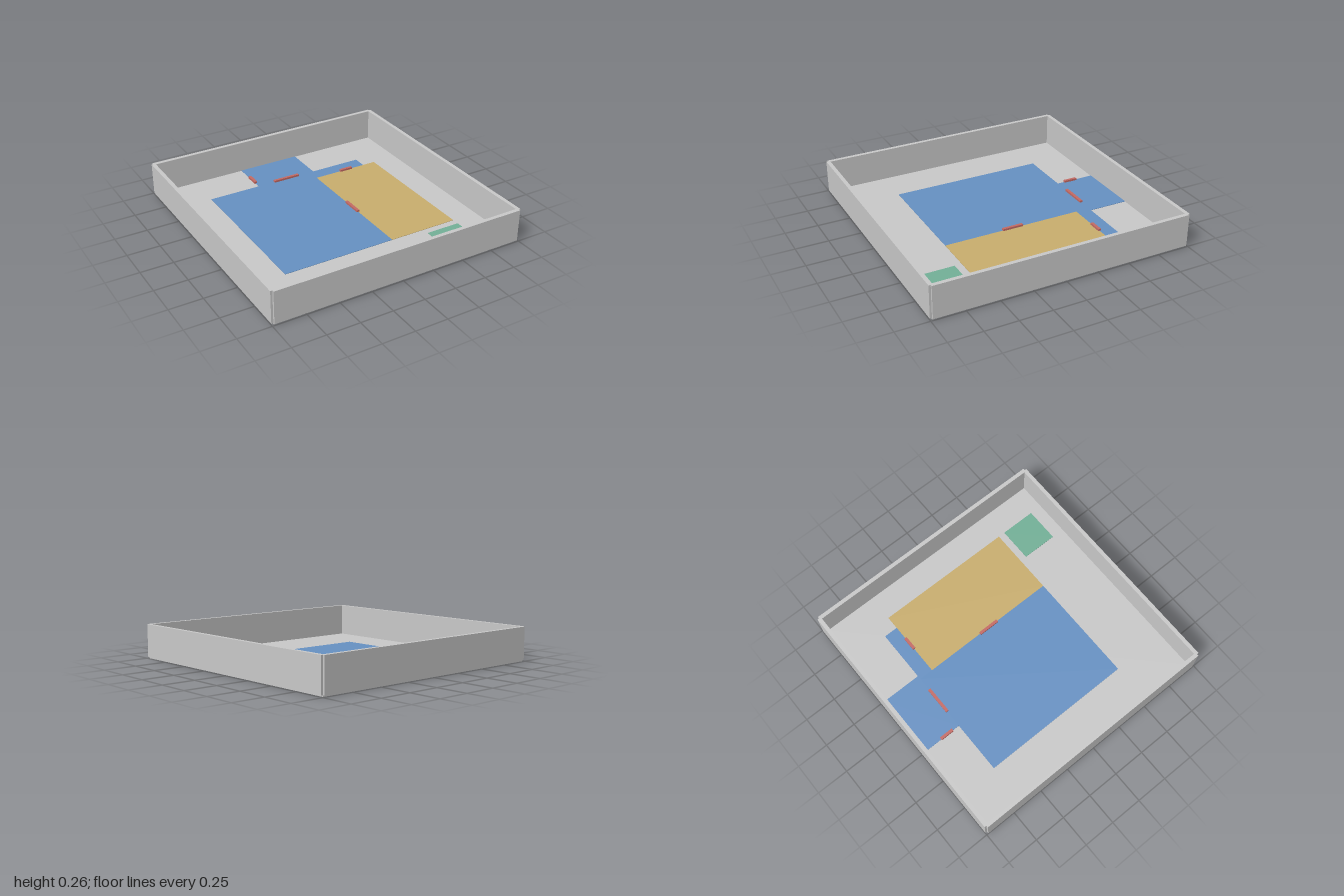
import * as THREE from 'three';

const mat = (name, color) => new THREE.MeshStandardMaterial({ name, color });

export function createModel() {
  const group = new THREE.Group();
  const grey = mat('light grey', 0xc9c9c9);
  const blue = mat('zone blue', 0x6691c3);
  const tan = mat('zone tan', 0xc9ae6e);
  const green = mat('zone green', 0x73b098);
  const red = mat('door red', 0xc46a64);

  // Box given by its x, y and z ranges
  function block(name, material, x0, x1, y0, y1, z0, z1) {
    const mesh = new THREE.Mesh(new THREE.BoxGeometry(x1 - x0, y1 - y0, z1 - z0), material);
    mesh.position.set((x0 + x1) / 2, (y0 + y1) / 2, (z0 + z1) / 2);
    mesh.name = name;
    group.add(mesh);
  }

  // Floor slab
  const half = 0.985, t = 0.015, floorTop = 0.01;
  block('floor', grey, -half, half, 0, floorTop, -half, half);

  // Walls centred on the slab edges, leaving small notches at the corners
  for (const s of [-1, 1]) {
    const a = s * half;
    block(s < 0 ? 'backWall' : 'frontWall', grey, -half, half, floorTop, 0.26, a - t, a + t);
    block(s < 0 ? 'rightWall' : 'leftWall', grey, a - t, a + t, floorTop, 0.26, -half, half);
  }

  // Flat coloured zones on the floor
  const zones = [
    ['corridorZone', blue, -0.25, 0.245, -0.97, -0.66],
    ['mainZone', blue, -0.66, 0.215, -0.66, 0.54],
    ['passageZone', blue, 0.215, 0.655, -0.66, -0.55],
    ['sideZone', tan, 0.215, 0.76, -0.55, 0.54],
    ['cornerZone', green, 0.49, 0.76, 0.595, 0.87],
  ];
  for (const [name, m, x0, x1, z0, z1] of zones) block(name, m, x0, x1, floorTop, floorTop + 0.003, z0, z1);

  // Low door markers: centre x, centre z, length x, length z
  const doors = [
    [-0.247, -0.77, 0.022, 0.108],
    [-0.003, -0.659, 0.218, 0.022],
    [0.488, -0.55, 0.108, 0.022],
    [0.213, -0.004, 0.022, 0.166],
  ];
  doors.forEach(([x, z, w, d], i) =>
    block(`door${i + 1}`, red, x - w / 2, x + w / 2, floorTop, 0.028, z - d / 2, z + d / 2));

  return group;
}
